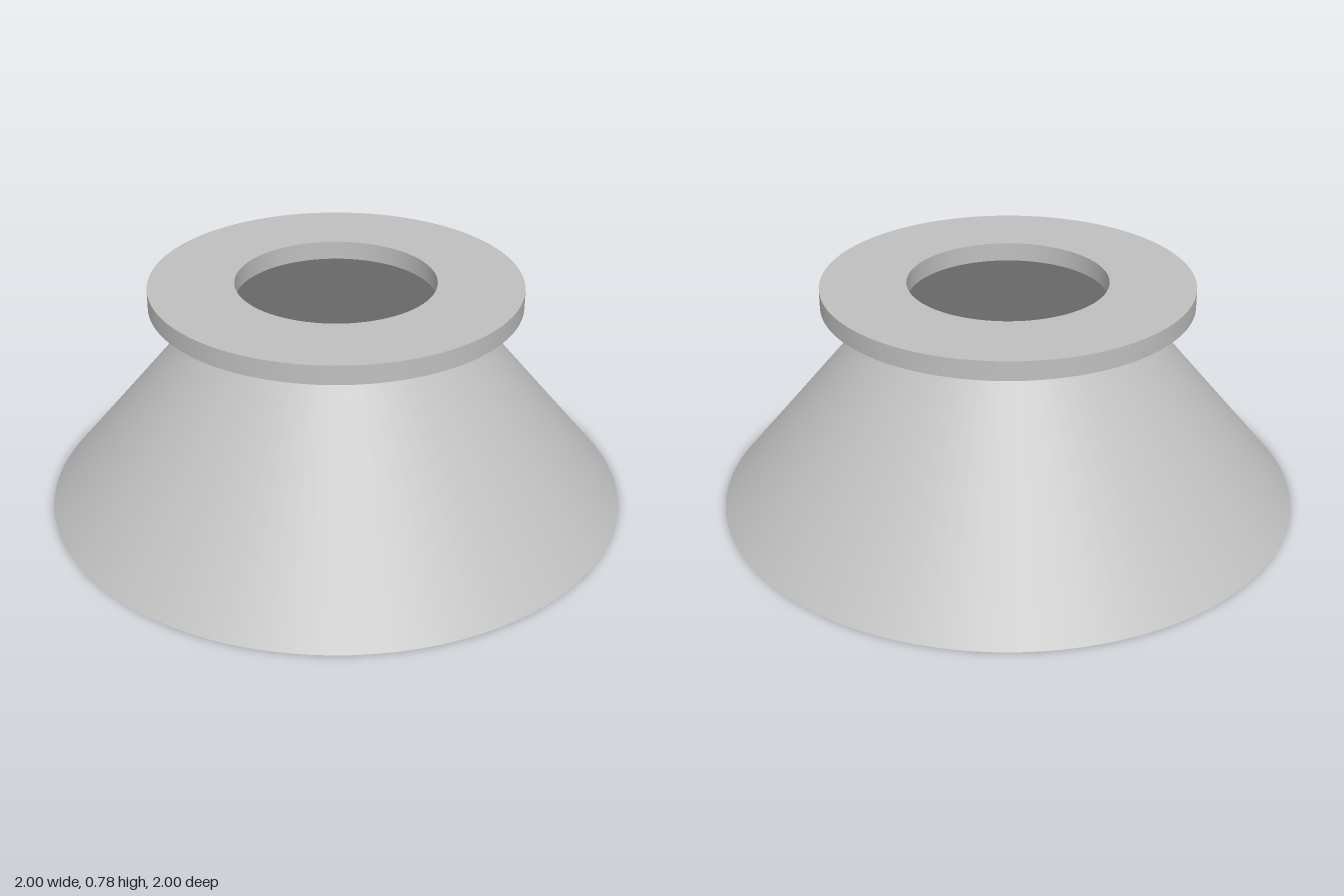
import * as THREE from 'three';
import { mergeGeometries } from 'three/addons/utils/BufferGeometryUtils.js';

// Revolve each profile segment on its own so edges stay sharp
function turned(name, profile, material) {
  const bands = [];
  for (let i = 0; i < profile.length - 1; i++) {
    const ends = [profile[i], profile[i + 1]].map(([r, y]) => new THREE.Vector2(r, y));
    bands.push(new THREE.LatheGeometry(ends, 96));
  }
  const mesh = new THREE.Mesh(mergeGeometries(bands), material);
  mesh.name = name;
  return mesh;
}

export function createModel() {
  const grey = new THREE.MeshStandardMaterial({ color: 0xc0c0c0 });
  grey.name = 'light grey';

  const bore = 0.34, neck = 0.405, seam = 0.715, top = 0.78, rim = 0.63;
  const model = new THREE.Group();
  model.name = 'flangedCone';

  // Hollow conical skirt: inner wall, bottom ring, outer wall
  model.add(turned('coneSkirt', [[bore, seam], [0.934, 0], [1, 0], [neck, seam]], grey));

  // Flat ring flange: underside, edge, top, bore
  model.add(turned('topFlange', [[neck, seam], [rim, seam], [rim, top], [bore, top], [bore, seam]], grey));

  return model;
}
